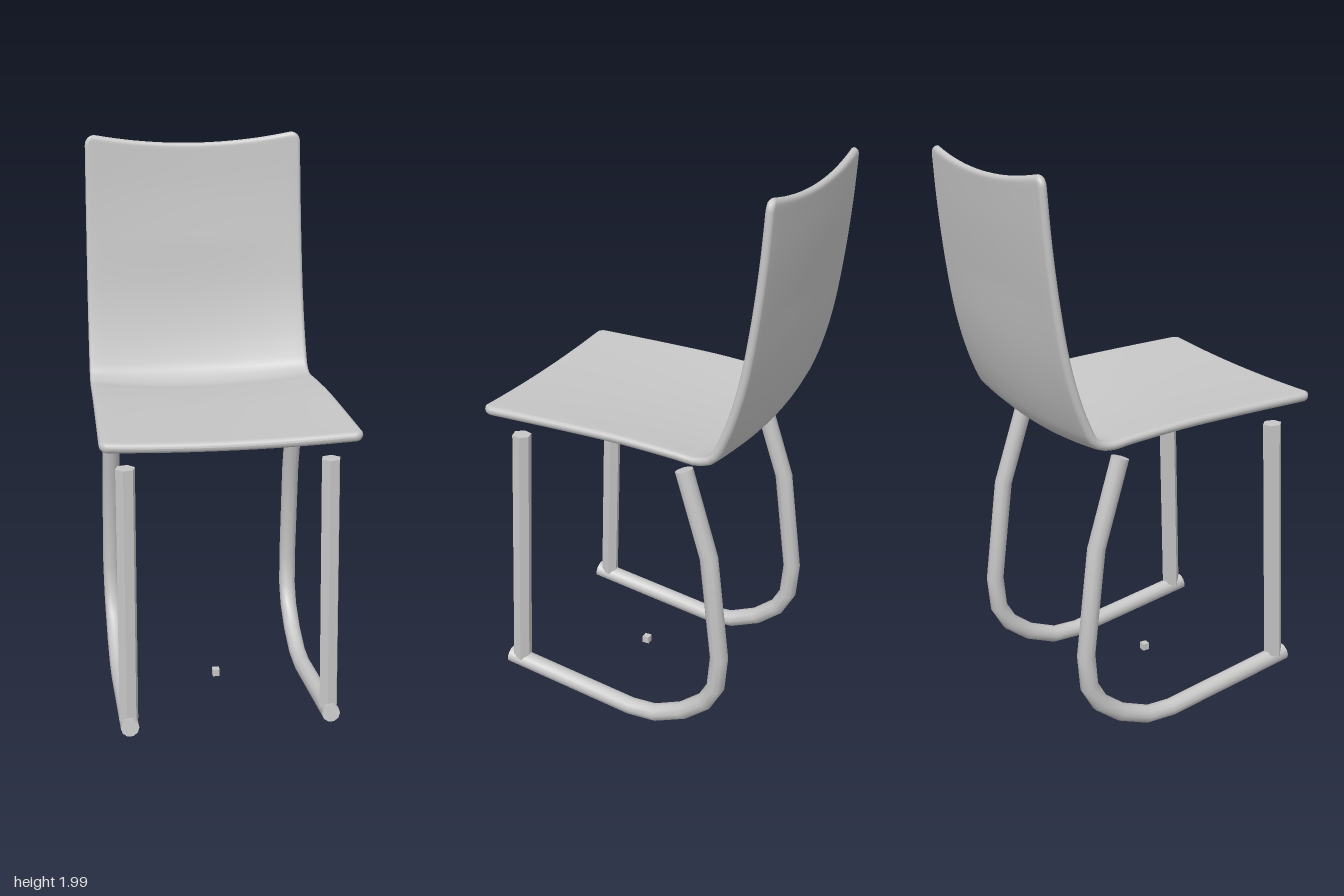
import * as THREE from 'three';
import { toCreasedNormals } from 'three/addons/utils/BufferGeometryUtils.js';

// Joins equal-sized rings of points into a closed skin, with optional fan caps.
function loft(rings, caps) {
  const n = rings[0].length;
  const pos = rings.flat().flatMap((p) => [p.x, p.y, p.z]);
  const index = [];
  for (let i = 0; i < rings.length - 1; i++) {
    for (let j = 0; j < n; j++) {
      const a = i * n + j, b = i * n + ((j + 1) % n);
      index.push(a, b, a + n, b, b + n, a + n);
    }
  }
  if (caps) {
    const last = (rings.length - 1) * n;
    for (let j = 1; j < n - 1; j++) {
      index.push(0, j + 1, j, last, last + j, last + j + 1);
    }
  }
  const geo = new THREE.BufferGeometry();
  geo.setAttribute('position', new THREE.Float32BufferAttribute(pos, 3));
  geo.setIndex(index);
  geo.computeVertexNormals();
  return geo;
}

// Bent tube through mitred corners; the path lies close to the yz plane.
function bentTube(points, radius, sides, turn = 0) {
  const path = points.map((p) => new THREE.Vector3(...p));
  const rings = path.map((p, i) => {
    const before = p.clone().sub(path[Math.max(i - 1, 0)]).normalize();
    const after = path[Math.min(i + 1, path.length - 1)].clone().sub(p).normalize();
    const t = before.clone().add(after).normalize();
    const v = new THREE.Vector3(0, t.z, -t.y).normalize();
    const u = v.clone().cross(t).normalize();
    const miter = 1 / Math.max(before.lengthSq() ? t.dot(before) : 1, 0.7);
    return Array.from({ length: sides }, (_, j) => {
      const a = turn + (j / sides) * Math.PI * 2;
      return p.clone()
        .addScaledVector(u, radius * Math.cos(a))
        .addScaledVector(v, radius * miter * Math.sin(a));
    });
  });
  return toCreasedNormals(loft(rings, true), 0.9);
}

// One-piece seat and back: a thin dished strip swept along the side profile.
function shellGeometry() {
  const profile = [
    [1.157, 0.52], [1.149, 0.2], [1.141, 0], [1.124, -0.2], [1.116, -0.285],
    [1.135, -0.335], [1.2, -0.37], [1.3, -0.406], [1.42, -0.437],
    [1.6, -0.467], [1.8, -0.49], [2.0, -0.505],
  ];
  const curve = new THREE.CatmullRomCurve3(
    profile.map(([y, z]) => new THREE.Vector3(0, y, z)), false, 'centripetal');
  curve.arcLengthDivisions = 600;
  const length = curve.getLength();
  const bend = 0.47;
  const corner = 0.035;
  const across = 20, round = 6;

  // Stations crowd together at both ends to round them off.
  const ends = [0, 0.001, 0.003, 0.006, 0.01, 0.016, 0.025, 0.036];
  const steps = 60;
  const stations = [...ends];
  for (let i = 1; i < steps; i++) stations.push(0.036 + ((length - 0.072) * i) / steps);
  stations.push(...ends.map((e) => length - e).reverse());

  const rings = stations.map((s) => {
    const f = Math.min(Math.max(s / length, 0), 1);
    const centre = curve.getPointAt(f);
    const t = curve.getTangentAt(f);
    const e = Math.min(s, length - s);
    const full = 0.017 - 0.003 * f;
    const k = Math.max(0, 1 - e / full);
    const thick = full * Math.sqrt(1 - k * k);
    const c = Math.max(0, corner - e);
    const half = 0.431 - 0.031 * f - corner + Math.sqrt(corner * corner - c * c);
    const dip = f < bend
      ? THREE.MathUtils.lerp(0.012, 0.03, f / bend)
      : THREE.MathUtils.lerp(0.03, 0.012, Math.min(1, (f - bend) / 0.3));

    const section = [];
    const flat = half - thick;
    for (const side of [1, -1]) {
      for (let i = 0; i <= round; i++) {
        const a = (i / round - 0.5) * Math.PI;
        section.push([side * (flat + thick * Math.cos(a)), side * thick * Math.sin(a)]);
      }
      for (let i = 1; i < across; i++) {
        section.push([side * flat * (1 - (2 * i) / across), side * thick]);
      }
    }
    const topEdge = THREE.MathUtils.smoothstep(centre.y, 1.6, 2.0);
    return section.map(([x, h]) => {
      const bow = 1 - (x / half) ** 2;
      const v = h + dip * bow;
      return new THREE.Vector3(x, centre.y + t.z * v - 0.035 * topEdge * bow, centre.z - t.y * v);
    });
  });
  return loft(rings, false);
}

export function createModel() {
  const model = new THREE.Group();
  model.name = 'chair';
  const grey = new THREE.MeshStandardMaterial({ color: 0xc6c6c6 });
  grey.name = 'light grey';

  const add = (name, geometry, parent = model) => {
    const mesh = new THREE.Mesh(geometry, grey);
    mesh.name = name;
    parent.add(mesh);
    return mesh;
  };

  add('seatShell', shellGeometry());

  // Each side: a straight front post and a floor skid that curves up behind.
  for (const [side, s] of [['left', 1], ['right', -1]]) {
    const frame = new THREE.Group();
    frame.name = side + 'LegFrame';
    model.add(frame);
    add(side + 'FrontPost', bentTube(
      [[s * 0.352, 0.13, 0.455], [s * 0.343, 1.05, 0.417]], 0.034, 6, 0.25), frame);
    add(side + 'SkidAndRearLeg', bentTube([
      [s * 0.352, 0.127, 0.503], [s * 0.352, 0.04, 0.0], [s * 0.352, 0.042, -0.1],
      [s * 0.352, 0.085, -0.21], [s * 0.352, 0.15, -0.295], [s * 0.353, 0.225, -0.338],
      [s * 0.354, 0.35, -0.35], [s * 0.35, 0.735, -0.305], [s * 0.343, 1.042, -0.208],
    ], 0.032, 10), frame);
  }

  // Small loose block between the skids
  add('smallBlock', new THREE.BoxGeometry(0.026, 0.026, 0.026)).position.set(0, 0.095, 0.107);

  return model;
}
